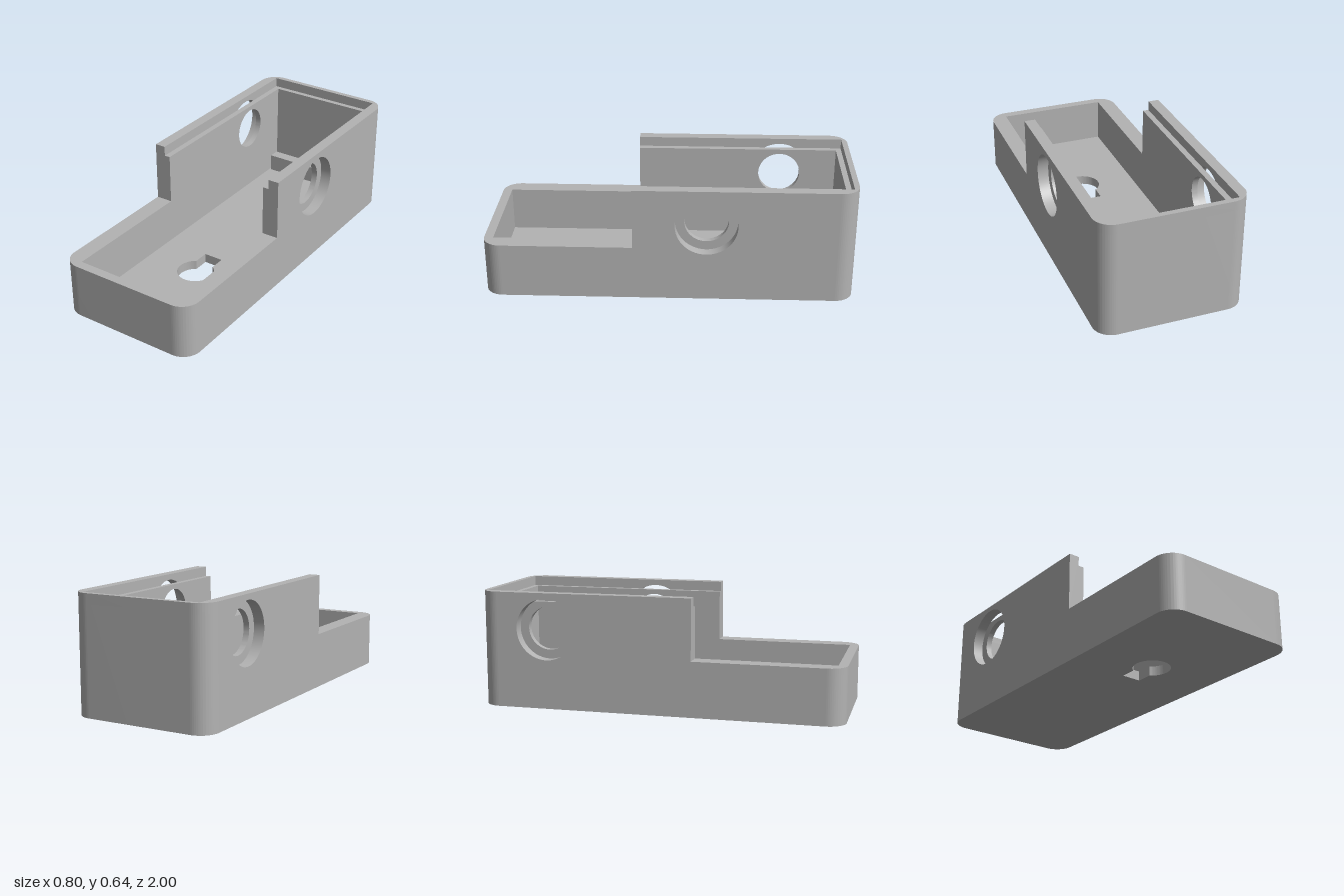
import * as THREE from 'three';
import { toCreasedNormals } from 'three/addons/utils/BufferGeometryUtils.js';

const HALF_W = 0.4, RADIUS = 0.1, END = 0.9;      // outer body and where its corners start
const TOP = 0.637, LEDGE = 0.583, LOW = 0.303;    // wall heights
const INNER = 0.307, LIP = 0.34;                  // cavity and lid-recess half widths
const BACK = 0.94, FRONT = 0.95, LIP_BACK = 0.97; // cavity end faces
const STEP = 0.19, FLOOR = 0.053;

export function createModel() {
  const model = new THREE.Group();
  model.name = 'openEnclosure';
  const grey = new THREE.MeshStandardMaterial({ color: 0xb3b3b3 });
  grey.name = 'grey plastic';

  function add(name, geometry, x = 0, y = 0, z = 0) {
    const mesh = new THREE.Mesh(geometry, grey);
    mesh.name = name;
    mesh.position.set(x, y, z);
    model.add(mesh);
    return mesh;
  }
  const extrude = (shape, depth) => toCreasedNormals(
    new THREE.ExtrudeGeometry(shape, { depth, bevelEnabled: false, curveSegments: 40 }), 0.5);
  // Plan shapes use (x, -z) and rise along y; side shapes use (-z, y) and extend along x
  const plan = (shape, height) => extrude(shape, height).rotateX(-Math.PI / 2);
  const side = (shape, width) => extrude(shape, width).rotateY(Math.PI / 2);
  const polygon = (pts) => new THREE.Shape(pts.map(([a, b]) => new THREE.Vector2(a, b)));

  // U-shaped end wall with two rounded outer corners
  function endWall(inner, endFace, height) {
    const s = new THREE.Shape();
    const c = HALF_W - RADIUS;
    s.moveTo(-HALF_W, END);
    s.absarc(-c, END, RADIUS, Math.PI, Math.PI / 2, true);
    s.absarc(c, END, RADIUS, Math.PI / 2, 0, true);
    s.lineTo(inner, END);
    s.lineTo(inner, endFace);
    s.lineTo(-inner, endFace);
    s.lineTo(-inner, END);
    s.closePath();
    return plan(s, height);
  }
  add('backWall', endWall(INNER, BACK, LEDGE));
  add('backLip', endWall(LIP, LIP_BACK, TOP - LEDGE), 0, LEDGE);
  add('frontWall', endWall(INNER, FRONT, LOW)).rotation.y = Math.PI;

  // Stepped side wall layer with a round hole
  function sideWall(top, holeZ, holeRadius, width) {
    const s = polygon([[-END, 0], [END, 0], [END, top], [-STEP, top], [-STEP, LOW], [-END, LOW]]);
    const hole = new THREE.Path();
    hole.absarc(-holeZ, 0.438, holeRadius, 0, Math.PI * 2, true);
    s.holes.push(hole);
    return side(s, width);
  }
  // Outer layers carry the counterbore and lip, inner layers the ledge and smaller hole
  for (const [label, sign, holeZ] of [['left', 1, -0.203], ['right', -1, -0.618]]) {
    add(label + 'OuterWall', sideWall(TOP, holeZ, 0.168, HALF_W - LIP), sign > 0 ? LIP : -HALF_W);
    add(label + 'InnerWall', sideWall(LEDGE, holeZ, 0.119, LIP - INNER), sign > 0 ? INNER : -LIP);
  }

  // Floor with keyhole
  const floor = polygon([[-INNER, -FRONT], [INNER, -FRONT], [INNER, BACK], [-INNER, BACK]]);
  const r = 0.101, slot = 0.055, keyZ = 0.386;
  const a = Math.acos(slot / r);
  const keyhole = new THREE.Path();
  keyhole.moveTo(-slot, -0.215);
  keyhole.lineTo(slot, -0.215);
  keyhole.absarc(0, -keyZ, r, a, Math.PI - a, true);
  keyhole.closePath();
  floor.holes.push(keyhole);
  add('floor', plan(floor, FLOOR));

  // Rib beside the back wall and two locating pegs
  const ribHeight = 0.1;
  add('rib', new THREE.BoxGeometry(0.594, ribHeight, 0.066), 0, FLOOR + ribHeight / 2, -0.887);
  const pegHeight = 0.06;
  for (const z of [-0.632, -0.208]) {
    add('peg', new THREE.CylinderGeometry(0.032, 0.032, pegHeight, 32), 0.252, FLOOR + pegHeight / 2, z);
  }
  return model;
}
